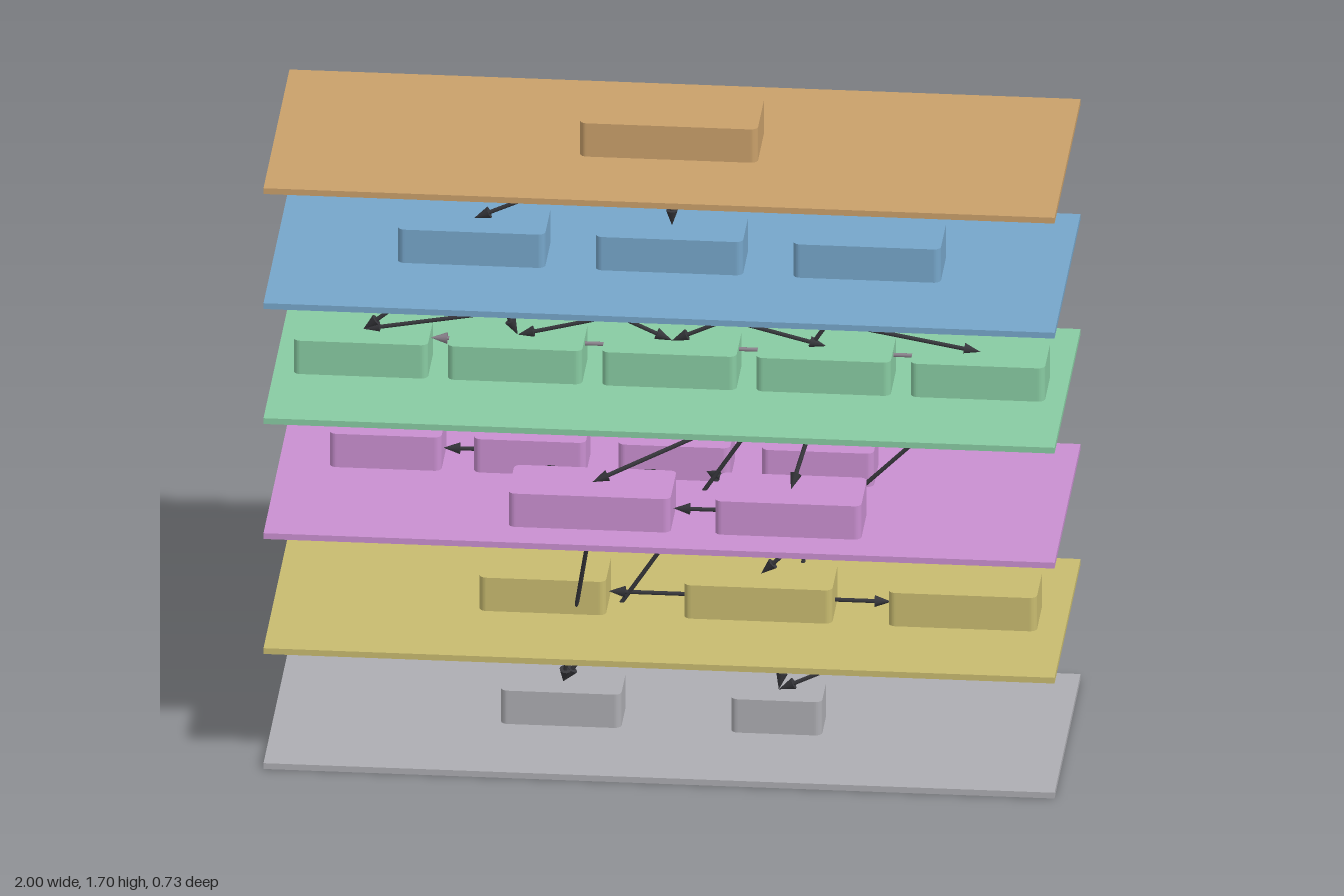
import * as THREE from 'three';

const mat = (name, color) => {
  const m = new THREE.MeshStandardMaterial({ color });
  m.name = name;
  return m;
};

const STEP = 0.318, PLATE = 0.016, TOP = 0.108; // layer spacing, plate thickness, block top

// Layers from bottom to top; each block is [x, z, width, depth]
const LAYERS = [
  { name: 'grey', color: 0xadadb2, blocks: [[-0.275, 0, 0.305, 0.14], [0.27, 0, 0.23, 0.14]] },
  { name: 'gold', color: 0xc8bb6f, blocks: [[-0.32, 0, 0.32, 0.174], [0.225, 0, 0.375, 0.174], [0.742, 0, 0.375, 0.174]] },
  {
    name: 'violet', color: 0xc98fd0, blocks: [
      [-0.185, 0.18, 0.41, 0.176], [0.317, 0.18, 0.37, 0.176],
      ...[-0.73, -0.365, 0, 0.363].map((x) => [x, -0.135, 0.283, 0.162]),
    ],
  },
  { name: 'green', color: 0x88cba2, blocks: [-0.78, -0.39, 0, 0.39, 0.78].map((x) => [x, 0, 0.34, 0.174]) },
  { name: 'blue', color: 0x76a6ca, blocks: [-0.5, 0, 0.5].map((x) => [x, 0, 0.373, 0.174]) },
  { name: 'tan', color: 0xc9a06a, blocks: [[0, 0, 0.45, 0.196]] },
];

// Block with rounded upright edges, standing on y = 0
function blockGeometry(w, d, h, r = 0.018) {
  const x = w / 2, y = d / 2, s = new THREE.Shape();
  s.absarc(x - r, y - r, r, 0, Math.PI / 2);
  s.absarc(-x + r, y - r, r, Math.PI / 2, Math.PI);
  s.absarc(-x + r, -y + r, r, Math.PI, Math.PI * 1.5);
  s.absarc(x - r, -y + r, r, Math.PI * 1.5, Math.PI * 2);
  const g = new THREE.ExtrudeGeometry(s, { depth: h, bevelEnabled: false, curveSegments: 4 });
  return g.rotateX(-Math.PI / 2);
}

// Thin rod with a cone at its far end
function arrow(from, to, material) {
  const a = new THREE.Vector3(...from), b = new THREE.Vector3(...to);
  const dir = b.clone().sub(a), len = dir.length(), head = 0.042;
  const g = new THREE.Group();
  g.name = 'arrow';
  const rod = new THREE.Mesh(new THREE.CylinderGeometry(0.0055, 0.0055, len - head, 8), material);
  rod.name = 'arrowShaft';
  rod.position.y = (len - head) / 2;
  const cone = new THREE.Mesh(new THREE.ConeGeometry(0.015, head, 10), material);
  cone.name = 'arrowHead';
  cone.position.y = len - head / 2;
  g.add(rod, cone);
  g.position.copy(a);
  g.quaternion.setFromUnitVectors(new THREE.Vector3(0, 1, 0), dir.normalize());
  return g;
}

export function createModel() {
  const model = new THREE.Group();
  model.name = 'layeredDiagram';

  // Plates with their blocks
  LAYERS.forEach((layer, i) => {
    const m = mat(layer.name, layer.color);
    const group = new THREE.Group();
    group.name = layer.name + 'Layer';
    group.position.y = i * STEP;
    const plate = new THREE.Mesh(new THREE.BoxGeometry(2, PLATE, 0.726), m);
    plate.name = layer.name + 'Plate';
    plate.position.y = PLATE / 2;
    group.add(plate);
    for (const [x, z, w, d] of layer.blocks) {
      const block = new THREE.Mesh(blockGeometry(w, d, TOP - PLATE), m);
      block.name = layer.name + 'Block';
      block.position.set(x, PLATE, z);
      group.add(block);
    }
    model.add(group);
  });

  const dark = mat('charcoal', 0x36363b), pale = mat('dustyGrey', 0x8a828c);

  // Links down between layers: [from layer, x, z, to layer, x, z]
  const links = [
    [5, 0, 0, 4, -0.5, 0], [5, 0, 0, 4, 0, 0],
    ...[-0.78, -0.39, 0, 0.39, 0.78].map((x) => [4, -0.5, 0, 3, x, 0]),
    ...[-0.78, -0.39, 0].map((x) => [4, 0.5, 0, 3, x, 0]),
    [4, 0.5, 0, 0, -0.275, 0],
    [3, 0.39, 0, 2, -0.185, 0.18], [3, 0.39, 0, 2, 0.317, 0.18],
    [3, 0.78, 0, 1, 0.225, 0],
    [2, -0.185, 0.18, 0, -0.275, 0], [2, 0.363, -0.135, 0, 0.27, 0],
    [1, 0.742, 0, 0, 0.27, 0],
  ];
  for (const [i, x0, z0, j, x1, z1] of links) {
    model.add(arrow([x0, i * STEP + PLATE, z0], [x1, j * STEP + TOP, z1], dark));
  }

  // Links between blocks of one layer: [height, x, z, x, z]
  const level = [
    [0.362, 0.04, 0, -0.16, 0], [0.362, 0.41, 0, 0.555, 0],
    [0.68, -0.505, -0.135, -0.59, -0.135], [0.68, 0.133, 0.18, 0.02, 0.18],
    [0.68, 0.229, 0.092, 0.082, -0.054],
    [0.68, -0.236, 0.092, -0.32, -0.054], [0.68, -0.132, 0.092, -0.046, -0.054],
  ];
  for (const [y, x0, z0, x1, z1] of level) model.add(arrow([x0, y, z0], [x1, y, z1], dark));
  model.add(arrow([0.61, 1.045, 0], [-0.61, 1.045, 0], pale));

  return model;
}
